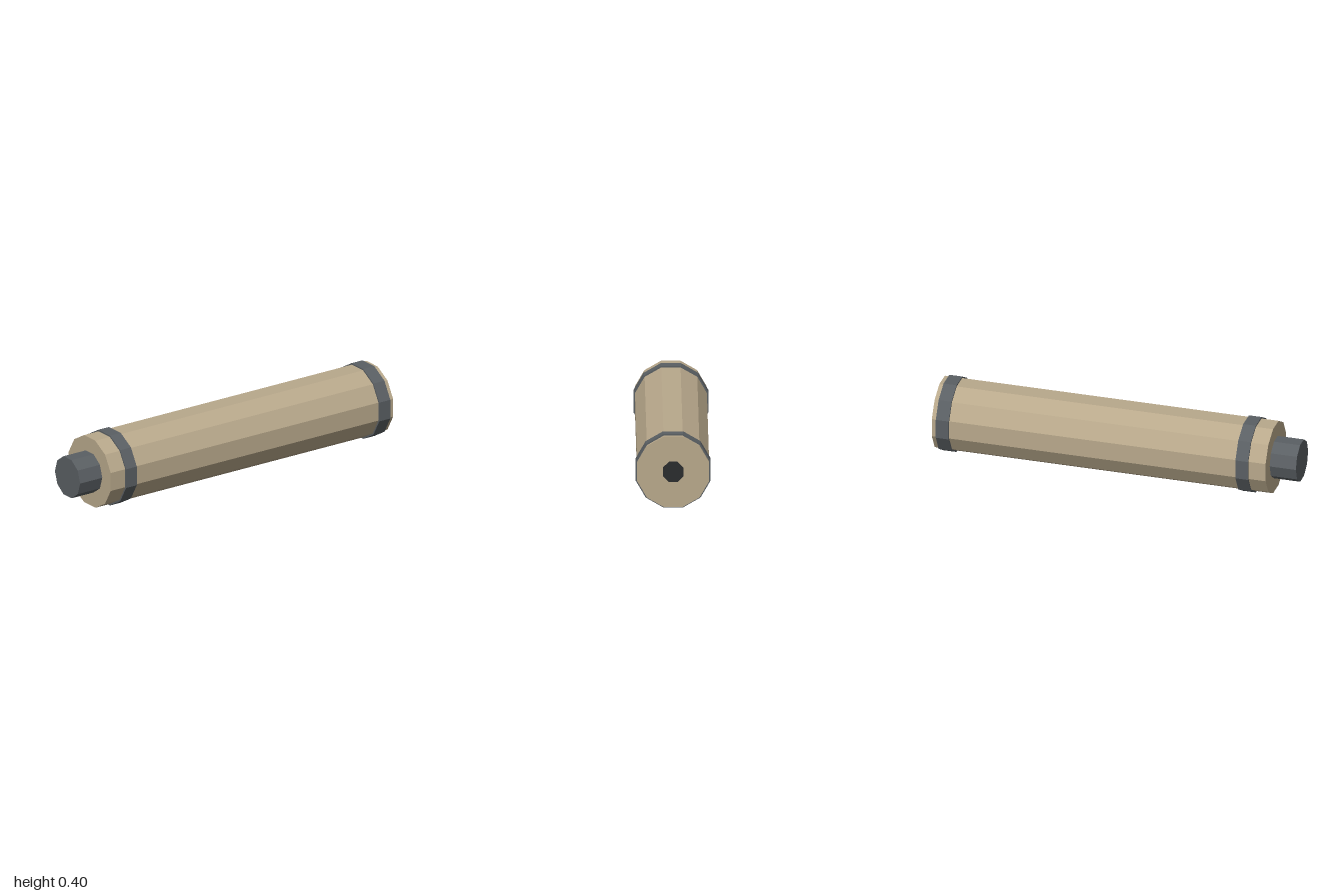
import * as THREE from 'three';

const material = (name, color) => {
  const m = new THREE.MeshStandardMaterial({ color, flatShading: true });
  m.name = name;
  return m;
};

export function createModel() {
  const model = new THREE.Group();
  model.name = 'canister';
  const tan = material('tan', 0xb8a88b);
  const grey = material('darkGrey', 0x5a5f63);
  const black = material('black', 0x2a2c2d);
  const axisHeight = 0.199;

  // Faceted prism along z, with flat faces at top and bottom
  const prism = (name, apothem, sides, back, front, mat) => {
    const radius = apothem / Math.cos(Math.PI / sides);
    const geometry = new THREE.CylinderGeometry(radius, radius, front - back, sides, 1, false, Math.PI / sides);
    geometry.rotateX(Math.PI / 2);
    const mesh = new THREE.Mesh(geometry, mat);
    mesh.name = name;
    mesh.position.set(0, axisHeight, (front + back) / 2);
    model.add(mesh);
  };

  prism('body', 0.191, 12, -0.994, 0.855, tan);
  // Raised bands near both ends
  prism('frontBand', 0.199, 12, 0.69, 0.76, grey);
  prism('rearBand', 0.199, 12, -0.97, -0.898, grey);
  // Front plug and small disc on the rear face
  prism('frontPlug', 0.109, 10, 0.855, 1, grey);
  prism('rearDisc', 0.055, 8, -1, -0.993, black);
  return model;
}
